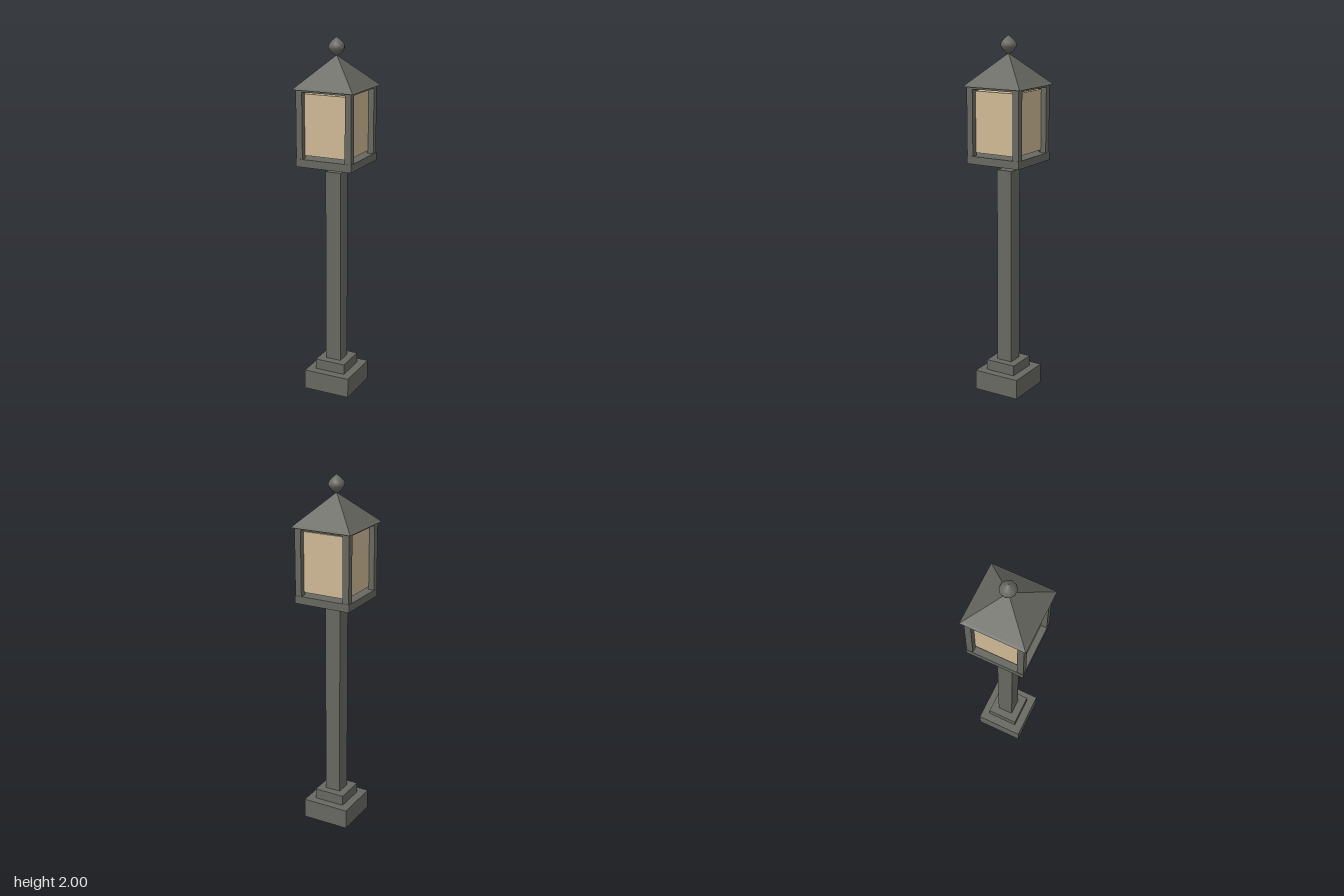
import * as THREE from 'three';

export function createModel() {
  const model = new THREE.Group();
  model.name = 'streetLantern';

  const metal = new THREE.MeshStandardMaterial({ color: 0x686862 });
  metal.name = 'grey metal';
  const glass = new THREE.MeshStandardMaterial({ color: 0xcfb995 });
  glass.name = 'warm glass';

  const add = (name, geometry, material = metal) => {
    const mesh = new THREE.Mesh(geometry, material);
    mesh.name = name;
    model.add(mesh);
    return mesh;
  };

  // Square block given by half width and its bottom and top heights
  const block = (name, half, y0, y1, material, x = 0, z = 0) =>
    add(name, new THREE.BoxGeometry(half * 2, y1 - y0, half * 2), material)
      .position.set(x, (y0 + y1) / 2, z);

  // Square frustum or pyramid with flat faces, aligned to the axes
  const frustum = (name, half0, half1, y0, y1) => {
    const geo = new THREE.CylinderGeometry(half1 * Math.SQRT2, half0 * Math.SQRT2, y1 - y0, 4)
      .rotateY(Math.PI / 4).toNonIndexed();
    geo.computeVertexNormals();
    add(name, geo).position.y = (y0 + y1) / 2;
  };

  // Stepped foot and post
  block('foot', 0.136, 0, 0.113);
  block('footStep', 0.089, 0.113, 0.172);
  block('post', 0.045, 0.172, 1.278);

  // Lantern tray, glass and four corner bars
  block('lanternTray', 0.163, 1.32, 1.363);
  block('lanternGlass', 0.13, 1.378, 1.71, glass);
  for (const x of [-1, 1]) {
    for (const z of [-1, 1]) {
      block('cornerBar', 0.018, 1.363, 1.735, metal, x * 0.143, z * 0.143);
    }
  }
  block('topFrame', 0.161, 1.722, 1.735);

  // Roof with eave lip
  frustum('eave', 0.177, 0.164, 1.734, 1.745);
  frustum('roof', 0.165, 0, 1.745, 1.905);

  // Onion-shaped finial
  const profile = [
    [0, 1.9], [0.013, 1.905], [0.032, 1.922], [0.043, 1.939], [0.045, 1.95],
    [0.04, 1.964], [0.026, 1.98], [0.011, 1.992], [0, 2],
  ].map(([r, y]) => new THREE.Vector2(r, y));
  add('finial', new THREE.LatheGeometry(profile, 10, Math.PI / 2));

  return model;
}
